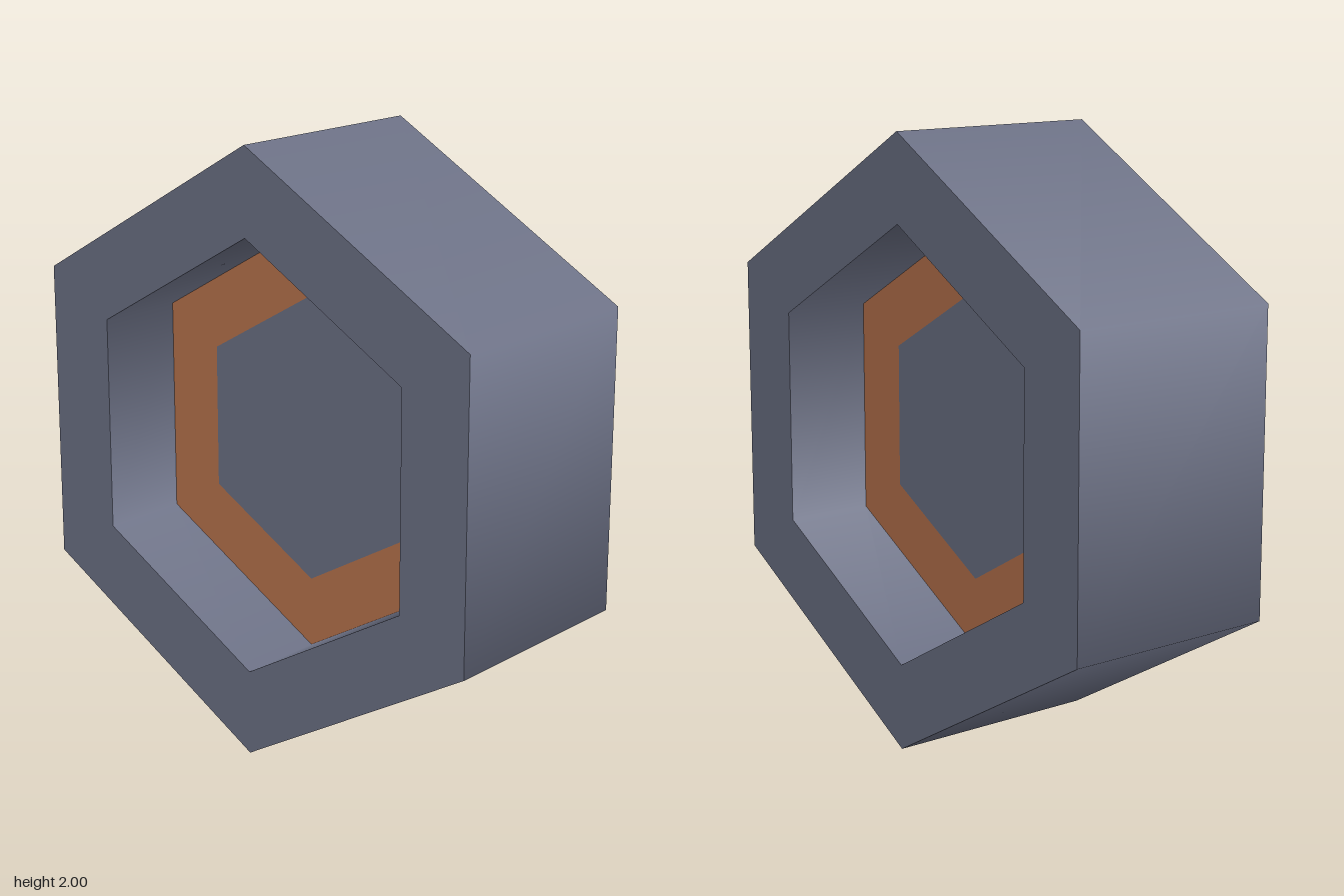
import * as THREE from 'three';

const OUTER = 1, INNER = 0.714, CORE = 0.48; // hexagon corner radii
const HALF = 0.375, PANEL = 0.07;            // half depths of the frame and the recessed panel

export function createModel() {
  const slate = new THREE.MeshStandardMaterial({ color: 0x70758a });
  slate.name = 'slate';
  const copper = new THREE.MeshStandardMaterial({ color: 0xc07850 });
  copper.name = 'copper';

  const model = new THREE.Group();
  model.name = 'hexagonalRing';

  // Six-sided band swept from (r0, z0) to (r1, z1) about the z axis, smooth round the ring
  function band(name, material, r0, z0, r1, z1) {
    const geometry = new THREE.LatheGeometry(
      [new THREE.Vector2(r0, z0), new THREE.Vector2(r1, z1)], 6);
    geometry.normalizeNormals();
    geometry.rotateX(Math.PI / 2);
    const mesh = new THREE.Mesh(geometry, material);
    mesh.name = name;
    mesh.position.y = 1;
    model.add(mesh);
  }

  // Outside of the frame
  band('outerWall', slate, OUTER, -HALF, OUTER, HALF);

  // Front half: rim, recess wall, copper border and centre
  band('frontRim', slate, OUTER, HALF, INNER, HALF);
  band('frontRecessWall', slate, INNER, HALF, INNER, PANEL);
  band('frontBorder', copper, INNER, PANEL, CORE, PANEL);
  band('frontCentre', slate, CORE, PANEL, 0, PANEL);

  // Back half, with profiles reversed so the faces look outwards
  band('backRim', slate, INNER, -HALF, OUTER, -HALF);
  band('backRecessWall', slate, INNER, -PANEL, INNER, -HALF);
  band('backBorder', copper, CORE, -PANEL, INNER, -PANEL);
  band('backCentre', slate, 0, -PANEL, CORE, -PANEL);

  return model;
}
